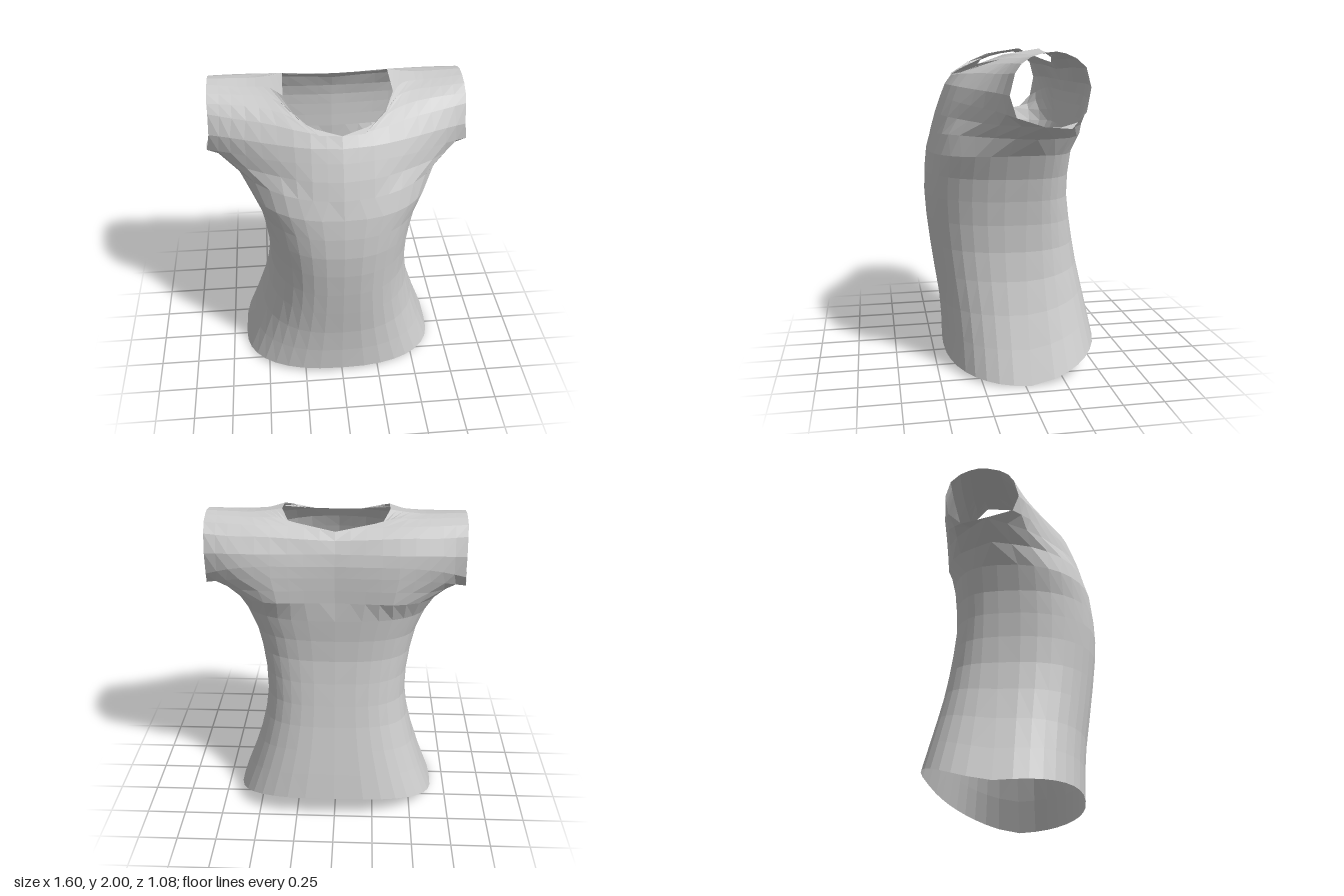
import * as THREE from 'three';

const COLS = 9; // faces from the centre line to the side seam

// Torso stations: half width, side height, front height, front z, back height, back z
const TORSO = [
  [0.66, 0, 0.04, 0.435, 0.17, -0.535],
  [0.585, 0.2, 0.22, 0.44, 0.34, -0.5],
  [0.52, 0.4, 0.4, 0.455, 0.5, -0.465],
  [0.472, 0.6, 0.6, 0.485, 0.66, -0.43],
  [0.45, 0.78, 0.78, 0.51, 0.8, -0.405],
  [0.455, 0.95, 0.95, 0.53, 0.95, -0.38],
  [0.475, 1.1, 1.1, 0.54, 1.1, -0.36],
  [0.505, 1.24, 1.24, 0.535, 1.24, -0.36],
  [0.565, 1.39, 1.37, 0.52, 1.38, -0.37],
];

// Where front and back panels meet: two underarm points and the shoulder line
const UNDERARM = [0.665, 1.495, -0.06];
const CUFF_BOTTOM = [0.8, 1.58, -0.07];
const SHOULDER = [[0.315, 2, -0.14], [0.4, 1.987, -0.14], [0.5, 1.978, -0.14], [0.62, 1.98, -0.14], [0.76, 1.985, -0.14]];

// Chest rows, each from the centre line or neckline out to the cuff
const CHEST = [
  [[0, 1.49, 0.495], [0.2, 1.49, 0.465], [0.38, 1.5, 0.39], [0.56, 1.5, 0.2], UNDERARM],
  [[0, 1.6, 0.465], [0.2, 1.6, 0.435], [0.4, 1.59, 0.335], [0.62, 1.58, 0.18], CUFF_BOTTOM],
  [[0, 1.7, 0.43], [0.2, 1.7, 0.4], [0.4, 1.68, 0.32], [0.62, 1.66, 0.19], [0.785, 1.63, 0.085]],
  [[0, 1.78, 0.395], [0.2, 1.78, 0.37], [0.41, 1.77, 0.285], [0.62, 1.76, 0.185], [0.762, 1.75, 0.12]],
  [[0, 1.84, 0.355], [0.2, 1.85, 0.315], [0.41, 1.86, 0.215], [0.6, 1.86, 0.14], [0.758, 1.87, 0.09]],
  [[0.13, 1.843, 0.345], [0.28, 1.895, 0.21], [0.42, 1.912, 0.13], [0.6, 1.92, 0.085], [0.76, 1.92, 0.055]],
  [[0.26, 1.91, 0.22], [0.35, 1.94, 0.09], [0.46, 1.947, 0.035], [0.6, 1.95, 0.015], [0.76, 1.957, 0]],
  [[0.32, 1.965, 0.08], [0.4, 1.97, -0.02], [0.5, 1.965, -0.05], [0.62, 1.968, -0.06], [0.76, 1.978, -0.07]],
  SHOULDER,
];

// Upper back rows, in the same order
const UPPER_BACK = [
  [[0, 1.5, -0.368], [0.2, 1.5, -0.378], [0.38, 1.5, -0.382], [0.55, 1.49, -0.29], UNDERARM],
  [[0, 1.58, -0.37], [0.2, 1.58, -0.38], [0.4, 1.58, -0.386], [0.62, 1.56, -0.3], CUFF_BOTTOM],
  [[0, 1.66, -0.37], [0.2, 1.66, -0.38], [0.42, 1.66, -0.386], [0.62, 1.63, -0.345], [0.777, 1.565, -0.23]],
  [[0, 1.73, -0.368], [0.2, 1.73, -0.376], [0.42, 1.73, -0.382], [0.6, 1.71, -0.37], [0.76, 1.655, -0.315]],
  [[0, 1.8, -0.355], [0.2, 1.8, -0.36], [0.42, 1.8, -0.37], [0.6, 1.8, -0.365], [0.755, 1.79, -0.34]],
  [[0, 1.87, -0.325], [0.2, 1.88, -0.33], [0.42, 1.89, -0.325], [0.6, 1.89, -0.32], [0.755, 1.9, -0.31]],
  [[0, 1.913, -0.29], [0.2, 1.93, -0.265], [0.42, 1.94, -0.27], [0.6, 1.945, -0.265], [0.76, 1.95, -0.25]],
  [[0.27, 1.945, -0.23], [0.34, 1.968, -0.21], [0.45, 1.967, -0.21], [0.6, 1.97, -0.2], [0.76, 1.975, -0.19]],
  SHOULDER,
];

// Quarter of a rounded-box section, from the centre line to the side seam
function torsoRow([halfWidth, sideY, frontY, frontZ, backY, backZ], face) {
  const [midY, midZ, power] = face > 0 ? [frontY, frontZ, 2.4] : [backY, backZ, 2.8];
  const sideZ = -0.04;
  return Array.from({ length: COLS + 1 }, (_, j) => {
    const a = (j / COLS) * Math.PI / 2;
    const out = Math.pow(Math.sin(a), 2 / power);
    const depth = j === COLS ? 0 : Math.pow(Math.cos(a), 2 / power);
    return new THREE.Vector3(
      halfWidth * out,
      sideY + (midY - sideY) * Math.pow(depth, 1.4),
      sideZ + (midZ - sideZ) * depth,
    );
  });
}

// Smooth curve through the points of an upper row
function upperRow(points) {
  const curve = new THREE.CatmullRomCurve3(points.map((p) => new THREE.Vector3(...p)));
  return curve.getPoints(COLS);
}

// One panel: its half grid of rows, mirrored across the centre line
function panel(name, upper, face, material) {
  const rows = [...TORSO.map((s) => torsoRow(s, face)), ...upper.map(upperRow)];
  const positions = [];
  for (const side of [1, -1]) {
    const put = (...corners) => {
      if (side * face < 0) corners.reverse();
      for (const p of corners) positions.push(p.x * side, p.y, p.z);
    };
    for (let i = 0; i < rows.length - 1; i++) {
      for (let j = 0; j < COLS; j++) {
        const a = rows[i][j], b = rows[i][j + 1];
        const c = rows[i + 1][j + 1], d = rows[i + 1][j];
        put(a, b, c);
        put(a, c, d);
      }
    }
  }
  const geometry = new THREE.BufferGeometry();
  geometry.setAttribute('position', new THREE.Float32BufferAttribute(positions, 3));
  geometry.computeVertexNormals();
  const mesh = new THREE.Mesh(geometry, material);
  mesh.name = name;
  return mesh;
}

export function createModel() {
  const group = new THREE.Group();
  group.name = 'shirt';
  const cloth = new THREE.MeshStandardMaterial({ color: 0xcccccc, flatShading: true, side: THREE.DoubleSide });
  group.add(panel('frontPanel', CHEST, 1, cloth));
  group.add(panel('backPanel', UPPER_BACK, -1, cloth));
  return group;
}
